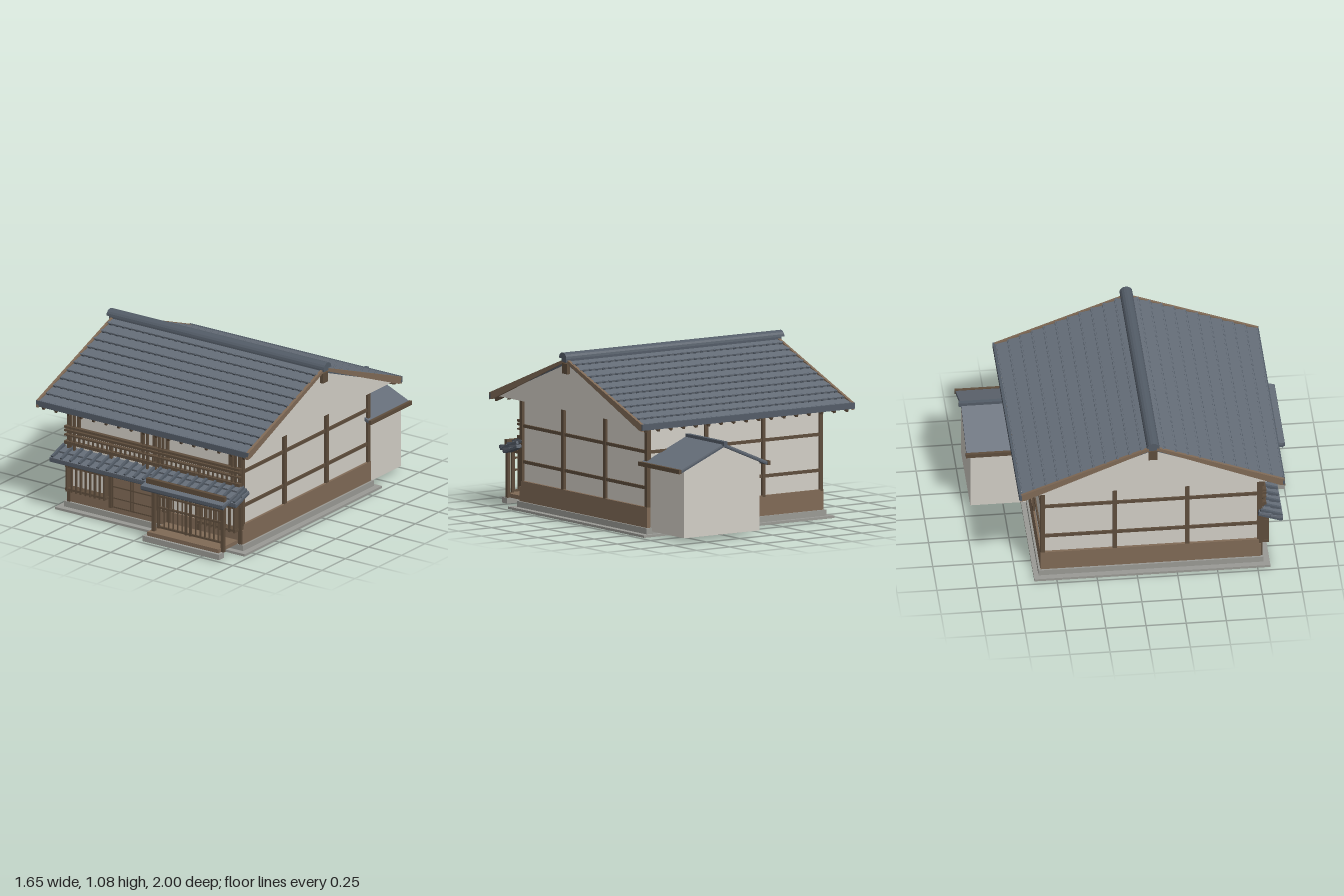
import * as THREE from 'three';

const mat = (name, color, side = THREE.FrontSide) => {
  const m = new THREE.MeshStandardMaterial({ color, side });
  m.name = name;
  return m;
};

export function createModel() {
  const plaster = mat('plaster', 0xd2cec6, THREE.DoubleSide);
  const timber = mat('dark timber', 0x5e4d3c);
  const panel = mat('brown boards', 0x806a56);
  const tile = mat('roof tile', 0x656d78);
  const darkTile = mat('dark tile', 0x535c67);
  const stone = mat('stone', 0x9a9a95);

  const house = new THREE.Group();
  house.name = 'townhouse';

  const section = (name) => {
    const g = new THREE.Group();
    g.name = name;
    house.add(g);
    return g;
  };
  // box given by its limits on each axis
  const box = (parent, name, m, x0, x1, y0, y1, z0, z1) => {
    const mesh = new THREE.Mesh(new THREE.BoxGeometry(x1 - x0, y1 - y0, z1 - z0), m);
    mesh.position.set((x0 + x1) / 2, (y0 + y1) / 2, (z0 + z1) / 2);
    mesh.name = name;
    parent.add(mesh);
    return mesh;
  };
  // row of upright bars along x
  const bars = (parent, name, x0, x1, y0, y1, z, count, w = 0.01) => {
    for (let i = 0; i < count; i++) {
      const x = x0 + ((x1 - x0) * i) / (count - 1);
      box(parent, name, timber, x - w / 2, x + w / 2, y0, y1, z - w / 2, z + w / 2);
    }
  };
  const extrude = (parent, name, m, points, depth) => {
    const shape = new THREE.Shape(points.map(([a, b]) => new THREE.Vector2(a, b)));
    const mesh = new THREE.Mesh(new THREE.ExtrudeGeometry(shape, { depth, bevelEnabled: false }), m);
    mesh.name = name;
    parent.add(mesh);
    return mesh;
  };
  // profile drawn as [z, y], extruded along x from x0
  const alongX = (parent, name, m, points, x0, depth) => {
    const mesh = extrude(parent, name, m, points.map(([z, y]) => [-z, y]), depth);
    mesh.rotation.y = Math.PI / 2;
    mesh.position.x = x0;
    return mesh;
  };
  // sloping roof side: origin on its upper edge, local +z runs down the slope
  const slope = (name, x, y, z, yaw, run, drop, width, rows, caps, thick = 0.014) => {
    const g = section(name);
    const len = Math.hypot(run, drop), step = len / rows, lip = rows > 1 ? 0.012 : 0;
    g.position.set(x, y, z);
    g.rotation.set(Math.atan2(drop, run), yaw, 0, 'YXZ');
    box(g, 'roofDeck', darkTile, -width / 2, width / 2, -thick * 2, -thick, 0, len);
    for (let r = 0; r < rows; r++) {
      const row = box(g, 'tileRow', tile, -width / 2, width / 2, -thick, 0, r * step, (r + 1) * step);
      row.rotation.x = -lip / step;
      for (let c = 0; c < caps; c++) {
        const cx = -width / 2 + ((c + 0.5) * width) / caps;
        box(g, 'tileEnd', darkTile, cx - 0.009, cx + 0.009, -0.012, 0.005, (r + 1) * step - 0.01, (r + 1) * step + 0.004);
      }
    }
    return g;
  };

  // stone footing
  const base = section('footing');
  box(base, 'lowerSlab', stone, -0.72, 0.72, 0, 0.015, -0.64, 0.83);
  box(base, 'upperSlab', stone, -0.68, 0.68, 0.015, 0.052, -0.61, 0.79);
  box(base, 'porchStep', stone, 0.065, 0.645, 0.012, 0.048, 0.945, 1);

  // walls with boarded base
  const walls = section('walls');
  box(walls, 'plasterWalls', plaster, -0.65, 0.65, 0.05, 0.715, -0.585, 0.765);
  box(walls, 'boardedBase', panel, -0.668, 0.668, 0.05, 0.18, -0.597, 0.764);
  box(walls, 'frontBoards', panel, -0.668, 0.668, 0.05, 0.145, 0.76, 0.777);
  for (const s of [-1, 1]) {
    for (const z of [0.765, 0.317, -0.133, -0.58])
      box(walls, 'sidePost', timber, s * 0.655 - 0.012, s * 0.655 + 0.012, 0.17, 0.715, z - 0.013, z + 0.013);
    for (const y of [0.3, 0.525])
      box(walls, 'sideBeam', timber, s * 0.652 - 0.01, s * 0.652 + 0.01, y - 0.01, y + 0.01, -0.59, 0.775);
  }
  for (const x of [-0.65, -0.217, 0.217, 0.65])
    box(walls, 'backPost', timber, x - 0.013, x + 0.013, 0.17, 0.715, -0.597, -0.57);
  for (const y of [0.3, 0.525])
    box(walls, 'backBeam', timber, -0.655, 0.655, y - 0.01, y + 0.01, -0.595, -0.575);

  // main roof
  const RZ = 0.09;
  slope('frontRoof', 0, 1.037, RZ, 0, 0.815, 0.315, 1.59, 11, 32);
  slope('backRoof', 0, 1.037, RZ, Math.PI, 0.815, 0.315, 1.59, 11, 32);
  const trim = section('roofTrim');
  for (const s of [-1, 1]) {
    const eave = RZ + s * 0.82;
    box(trim, 'eaveTiles', darkTile, -0.805, 0.805, 0.69, 0.728, eave - 0.012, eave + 0.003);
    for (let i = 0; i < 17; i++) {
      const x = -0.76 + i * 0.095;
      const rafter = box(trim, 'rafter', timber, x - 0.008, x + 0.008, -0.01, 0.01, -0.11, 0.11);
      rafter.position.set(x, 0.72, RZ + s * 0.71);
      rafter.rotation.x = s * 0.37;
    }
    // plaster gable, tapered bargeboards and ridge beam end
    alongX(trim, 'gable', plaster, [[RZ - 0.79, 0.712], [RZ + 0.79, 0.712], [RZ, 1.022]], s * 0.785 - 0.004, 0.008);
    for (const d of [-1, 1])
      alongX(trim, 'bargeboard', panel, [[RZ, 1.04], [RZ + d * 0.82, 0.728], [RZ + d * 0.825, 0.683],
        [RZ + d * 0.79, 0.69], [RZ, 1.02]], s * 0.796 - 0.009, 0.018);
    box(trim, 'ridgeBeamEnd', timber, s * 0.79 - 0.02, s * 0.79 + 0.02, 0.945, 1.01, RZ - 0.028, RZ + 0.028);
  }
  alongX(trim, 'ridgeBase', darkTile, [[RZ - 0.025, 1.02], [RZ + 0.025, 1.02], [RZ + 0.025, 1.05], [RZ - 0.025, 1.05]], -0.815, 1.63);
  const dome = [];
  for (let i = 0; i <= 8; i++)
    dome.push([RZ + 0.04 * Math.cos((i * Math.PI) / 8), 1.043 + 0.037 * Math.sin((i * Math.PI) / 8)]);
  alongX(trim, 'ridgeCap', darkTile, dome, -0.825, 1.65);

  // upper floor front: posts, rails, balusters and framed panels
  const upper = section('upperFront');
  for (const x of [-0.65, 0, 0.65]) box(upper, 'frontPost', timber, x - 0.012, x + 0.012, 0.05, 0.715, 0.755, 0.785);
  for (const [y, h] of [[0.45, 0.02], [0.5, 0.01], [0.53, 0.014], [0.552, 0.014]])
    box(upper, 'rail', timber, -0.665, 0.665, y - h / 2, y + h / 2, 0.782, 0.81);
  bars(upper, 'baluster', -0.63, 0.63, 0.455, 0.5, 0.796, 37);
  for (const s of [-1, 1]) {
    for (const x of [0.045, 0.075, 0.6, 0.625])
      box(upper, 'slimPost', timber, s * x - 0.006, s * x + 0.006, 0.4, 0.7, 0.785, 0.8);
    for (const x of [0.095, 0.575])
      box(upper, 'panelFrame', timber, s * x - 0.008, s * x + 0.008, 0.5, 0.7, 0.765, 0.785);
    box(upper, 'panelSill', timber, s * 0.335 - 0.24, s * 0.335 + 0.24, 0.508, 0.52, 0.765, 0.785);
    box(upper, 'midPost', timber, s * 0.332 - 0.01, s * 0.332 + 0.01, 0.4, 0.505, 0.765, 0.785);
  }

  // ground floor front: lattice bays and sliding doors
  const lower = section('lowerFront');
  for (const x of [-0.332, 0.11, 0.332]) box(lower, 'bayPost', timber, x - 0.012, x + 0.012, 0.08, 0.4, 0.76, 0.788);
  box(lower, 'lintel', timber, -0.66, 0.66, 0.335, 0.355, 0.76, 0.79);
  box(lower, 'transomRail', timber, -0.66, 0.66, 0.296, 0.312, 0.76, 0.788);
  for (const [x0, x1, n] of [[-0.635, -0.35, 9], [0.35, 0.635, 9]]) {
    bars(lower, 'latticeBar', x0, x1, 0.135, 0.375, 0.822, n, 0.012);
    for (const y of [0.15, 0.3, 0.36]) box(lower, 'latticeRail', timber, x0 - 0.01, x1 + 0.01, y - 0.007, y + 0.007, 0.77, 0.826);
    for (const x of [x0, x1]) box(lower, 'latticeSide', timber, x - 0.006, x + 0.006, 0.135, 0.375, 0.765, 0.826);
  }
  bars(lower, 'narrowLattice', 0.022, 0.095, 0.14, 0.35, 0.785, 4);
  box(lower, 'doors', panel, -0.32, -0.012, 0.09, 0.32, 0.765, 0.781);
  for (const x of [-0.316, -0.176, -0.158, -0.016]) box(lower, 'doorStile', timber, x - 0.004, x + 0.004, 0.085, 0.345, 0.765, 0.786);
  for (const y of [0.09, 0.15, 0.225, 0.318]) box(lower, 'doorRail', timber, -0.32, -0.012, y - 0.004, y + 0.004, 0.765, 0.785);

  // pent roof above the ground floor, raised over the porch
  const pent = section('pentRoofParts');
  slope('pentRoof', 0, 0.415, 0.765, 0, 0.145, 0.05, 1.41, 2, 0);
  slope('porchRoof', 0.358, 0.445, 0.765, 0, 0.232, 0.075, 0.62, 3, 0);
  box(pent, 'pentEave', darkTile, -0.705, 0.705, 0.345, 0.362, 0.89, 0.91);
  box(pent, 'porchEave', darkTile, 0.048, 0.668, 0.355, 0.375, 0.982, 1);
  for (let i = 0; i < 21; i++) {
    const x = -0.69 + i * 0.069, porch = x > 0.04 && x < 0.68;
    const rib = box(pent, 'tileRib', darkTile, x - 0.008, x + 0.008, -0.008, 0.01, -0.07, 0.07);
    rib.position.set(x, porch ? 0.425 : 0.397, porch ? 0.85 : 0.838);
    rib.rotation.x = 0.33;
  }

  // entrance porch
  const porch = section('porch');
  box(porch, 'porchFloor', panel, 0.09, 0.63, 0.05, 0.075, 0.78, 0.985);
  box(porch, 'porchBeam', timber, 0.06, 0.655, 0.38, 0.415, 0.932, 0.957);
  for (const x of [0.112, 0.638]) {
    box(porch, 'porchPost', timber, x - 0.011, x + 0.011, 0.05, 0.4, 0.934, 0.956);
    box(porch, 'porchTie', timber, x - 0.008, x + 0.008, 0.34, 0.36, 0.77, 0.945);
  }
  bars(porch, 'screenBar', 0.135, 0.615, 0.09, 0.36, 0.915, 15, 0.008);
  for (const x of [0.125, 0.335, 0.37, 0.625]) box(porch, 'screenStile', timber, x - 0.007, x + 0.007, 0.085, 0.36, 0.909, 0.921);
  for (const y of [0.095, 0.225, 0.3, 0.352]) box(porch, 'screenRail', timber, 0.12, 0.63, y - 0.006, y + 0.006, 0.909, 0.921);

  // rear wing, open underneath
  const wing = section('rearWing');
  const WX = 0.355;
  for (const s of [-1, 1]) {
    box(wing, 'wingWall', plaster, WX + s * 0.28 - 0.005, WX + s * 0.28 + 0.005, 0.03, 0.47, -0.95, -0.59);
    slope('wingRoof', WX, 0.603, -0.77, (s * Math.PI) / 2, 0.335, 0.143, 0.43, 1, 0, 0.01);
    box(wing, 'wingFascia', timber, WX + s * 0.337 - 0.01, WX + s * 0.337 + 0.01, 0.44, 0.466, -0.99, -0.55);
  }
  const end = extrude(wing, 'wingEndWall', plaster, [[WX - 0.285, 0.03], [WX + 0.285, 0.03],
    [WX + 0.285, 0.465], [WX, 0.588], [WX - 0.285, 0.465]], 0.01);
  end.position.z = -0.957;
  box(wing, 'wingRidge', darkTile, WX - 0.014, WX + 0.014, 0.59, 0.616, -1, -0.58);

  return house;
}
